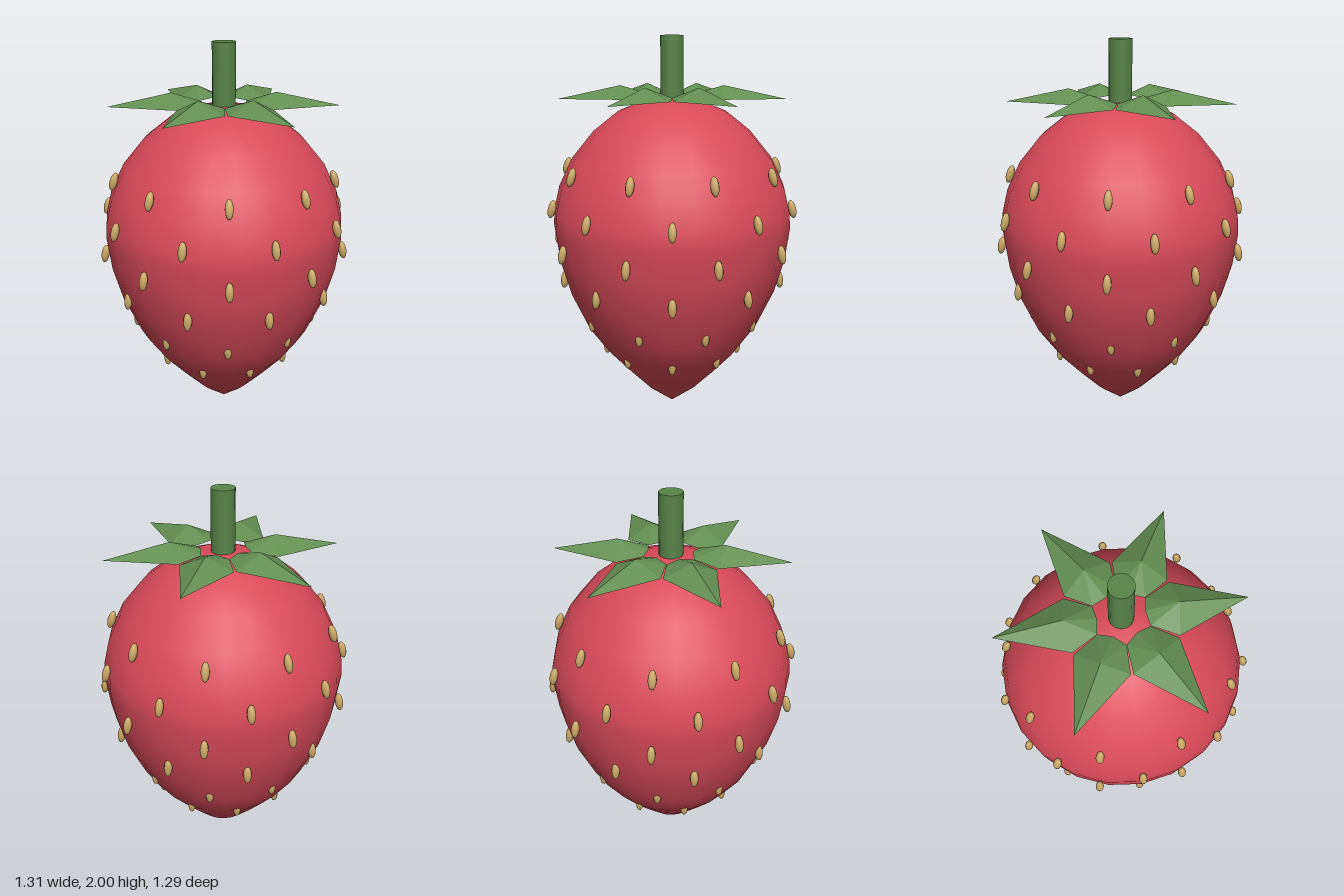
import * as THREE from 'three';

const paint = (color, extra = {}) => new THREE.MeshStandardMaterial({ color, ...extra });

// One ridged leaf pointing along +z
function leafGeometry() {
  const tip = [0, 1.68, 0.59], peak = [0, 1.75, 0.265], inner = [0, 1.705, 0.11];
  const positions = [];
  for (const s of [1, -1]) {
    const wide = [0.135 * s, 1.685, 0.245], corner = [0.07 * s, 1.695, 0.122];
    const faces = [[peak, tip, wide], [peak, wide, corner], [peak, corner, inner]];
    for (const [a, b, c] of faces) positions.push(...a, ...(s > 0 ? b : c), ...(s > 0 ? c : b));
  }
  const geometry = new THREE.BufferGeometry();
  geometry.setAttribute('position', new THREE.Float32BufferAttribute(positions, 3));
  geometry.computeVertexNormals();
  return geometry;
}

export function createModel() {
  const model = new THREE.Group();
  const add = (name, geometry, material, parent = model) => {
    const mesh = new THREE.Mesh(geometry, material);
    mesh.name = name;
    parent.add(mesh);
    return mesh;
  };
  const group = (name) => {
    const g = new THREE.Group();
    g.name = name;
    model.add(g);
    return g;
  };

  // Fruit: teardrop profile turned with 22 sides, one vertex on the x axis
  const profile = [
    [0, 0.005], [0.137, 0.11], [0.25, 0.225], [0.36, 0.345], [0.46, 0.485], [0.552, 0.685], [0.602, 0.86],
    [0.625, 1.03], [0.62, 1.11], [0.59, 1.235], [0.52, 1.38], [0.405, 1.52], [0.278, 1.62], [0.14, 1.675], [0, 1.695],
  ].map(([r, y]) => new THREE.Vector2(r, y));
  const fruit = new THREE.LatheGeometry(profile, 22);
  fruit.rotateY(Math.PI / 2);
  add('fruit', fruit, paint(0xd94a58));

  // Seeds: six staggered rings of nine, leaning with the surface
  const seeds = group('seeds');
  const seedGeometry = new THREE.SphereGeometry(1, 10, 8).scale(0.021, 0.048, 0.021);
  const seedMaterial = paint(0xc9a766);
  const rings = [[1.32, 0.57], [1.125, 0.63], [0.935, 0.63], [0.745, 0.575], [0.55, 0.475], [0.36, 0.355]];
  rings.forEach(([y, r], row) => {
    for (let i = 0; i < 9; i++) {
      const angle = (i + (row % 2) / 2) * Math.PI * 2 / 9;
      const seed = add('seed', seedGeometry, seedMaterial, seeds);
      seed.position.set(r * Math.cos(angle), y, r * Math.sin(angle));
      seed.rotation.set(0, -angle, Math.max(0.06, 0.3 - 0.06 * row));
    }
  });

  // Crown of six leaves
  const leaves = group('leaves');
  const leaf = leafGeometry();
  const leafMaterial = paint(0x638f52, { flatShading: true, side: THREE.DoubleSide });
  for (let i = 0; i < 6; i++) add('leaf', leaf, leafMaterial, leaves).rotation.y = i * Math.PI / 3;

  // Stem
  add('stem', new THREE.CylinderGeometry(0.06, 0.06, 0.32, 14), paint(0x588549)).position.y = 1.84;

  return model;
}
